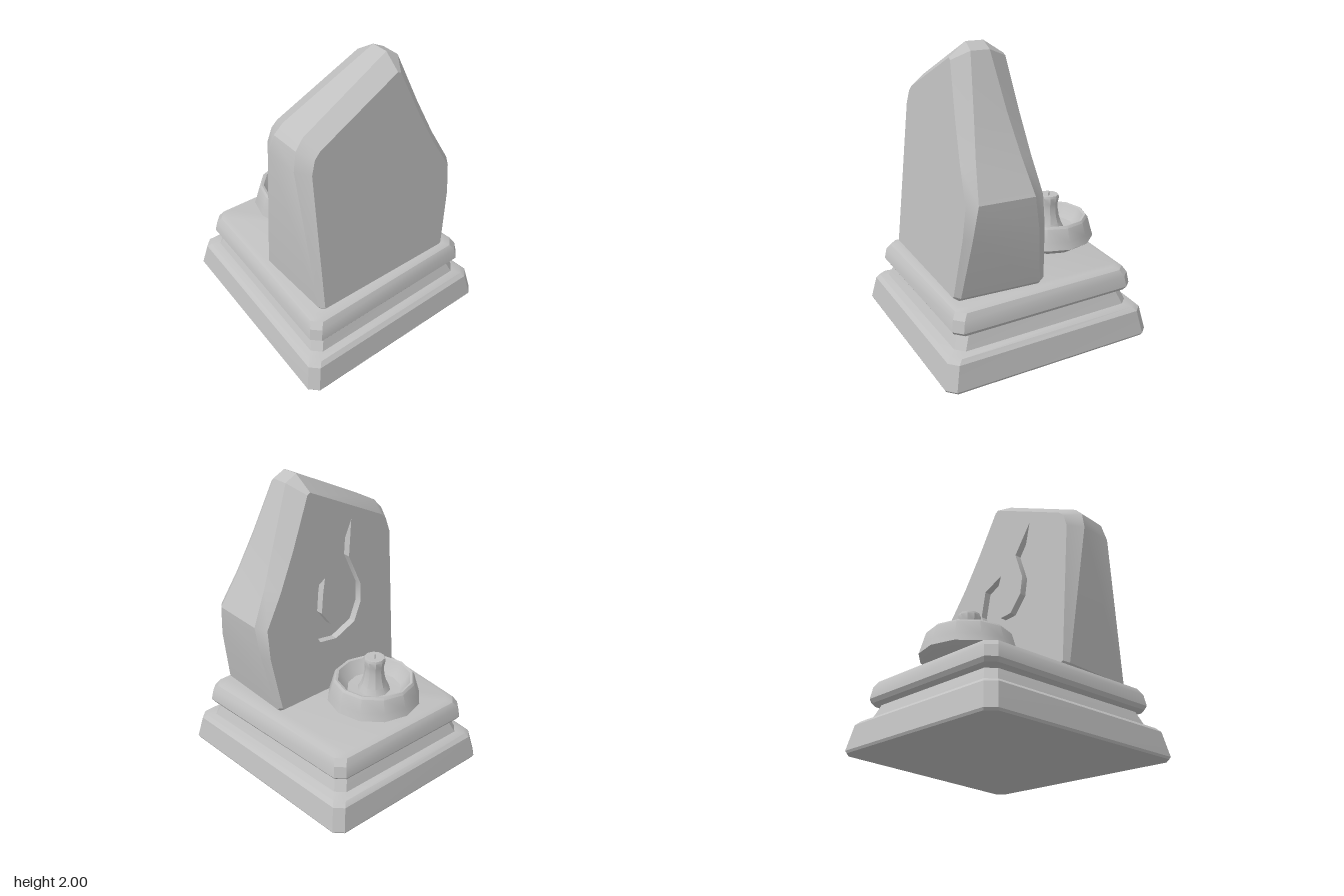
import * as THREE from 'three';
import { toCreasedNormals } from 'three/addons/utils/BufferGeometryUtils.js';

const stoneGrey = new THREE.MeshStandardMaterial({ color: 0xc0c0c0 });
const V = (x, y, z) => new THREE.Vector3(x, y, z);

// Mesh from a flat list of triangle corners
function meshFrom(tris, name, crease) {
  const geo = new THREE.BufferGeometry().setFromPoints(tris);
  const mesh = new THREE.Mesh(toCreasedNormals(geo, crease), stoneGrey);
  mesh.name = name;
  return mesh;
}

// Skin between successive rings; flip turns the faces inward
function loft(tris, rings, flip = false) {
  for (let k = 0; k < rings.length - 1; k++) {
    const n = rings[k].length;
    for (let i = 0; i < n; i++) {
      const j = (i + 1) % n;
      const a = rings[k][i], b = rings[k][j], c = rings[k + 1][j], d = rings[k + 1][i];
      if (flip) tris.push(a, c, b, a, d, c);
      else tris.push(a, b, c, a, c, d);
    }
  }
}

// Flat fill of an xy outline, with depth given by a rule
function fill(tris, outline, zOf, flip, holes = []) {
  const faces = THREE.ShapeUtils.triangulateShape(outline, holes);
  const all = [...outline, ...holes.flat()].map(p => V(p.x, p.y, zOf(p.y)));
  for (const [a, b, c] of faces) {
    const p = all[a], q = all[b], r = all[c];
    const ccw = (q.x - p.x) * (r.y - p.y) - (q.y - p.y) * (r.x - p.x) > 0;
    if (ccw !== flip) tris.push(p, q, r);
    else tris.push(p, r, q);
  }
}

// Stepped plinth: a slightly skewed footprint with cut corners
function plinth() {
  const corners = [[0.745, 0.755], [0.65, -0.76], [-0.66, -0.78], [-0.75, 0.778]];
  const ring = (y, inset) => corners.flatMap(([x, z], i) => {
    const sx = Math.sign(x), sz = Math.sign(z), cut = 0.055;
    const px = x - sx * inset, pz = z - sz * inset;
    const onFront = V(px - sx * cut, y, pz), onSide = V(px, y, pz - sz * cut);
    return i % 2 === 0 ? [onFront, onSide] : [onSide, onFront];
  });
  const steps = [[0, 0.008], [0.015, 0], [0.175, 0.032], [0.2, 0.058], [0.215, 0.105],
    [0.305, 0.142], [0.32, 0.105], [0.345, 0.088], [0.42, 0.1], [0.46, 0.125], [0.475, 0.16]];
  const rings = steps.map(([y, inset]) => ring(y, inset));
  const tris = [];
  loft(tris, rings);
  const bottom = rings[0], top = rings[rings.length - 1];
  for (let i = 1; i < 7; i++) {
    tris.push(bottom[0], bottom[i + 1], bottom[i]);
    tris.push(top[0], top[i], top[i + 1]);
  }
  return meshFrom(tris, 'plinth', 0.45);
}

// Upright stone: chamfered slab that thins upward, with a carved hook on its back
function standingStone() {
  const outline = [[-0.52, 0.48], [0.49, 0.48], [0.515, 0.505], [0.585, 0.9], [0.6, 1.12],
    [0.48, 1.35], [0.37, 1.6], [0.225, 1.955], [0.14, 2], [-0.5, 1.685], [-0.56, 1.62],
    [-0.59, 1.5], [-0.54, 0.5]].map(p => new THREE.Vector2(...p));
  const rise = y => THREE.MathUtils.smoothstep(y, 0.5, 2);
  const backZ = y => -0.02 + (y - 0.48) * 0.079;
  const frontZ = y => 0.61 - (y - 0.48) * 0.107;

  const n = outline.length;
  const inner = outline.map((p, i) => {
    const e0 = p.clone().sub(outline[(i + n - 1) % n]).normalize();
    const e1 = outline[(i + 1) % n].clone().sub(p).normalize();
    const n0 = new THREE.Vector2(-e0.y, e0.x);
    const dir = n0.clone().add(new THREE.Vector2(-e1.y, e1.x)).normalize();
    return p.clone().addScaledVector(dir, (0.025 + 0.055 * rise(p.y)) / dir.dot(n0));
  });
  const at = (pts, zOf) => pts.map(p => V(p.x, p.y, zOf(p.y)));

  const tris = [];
  loft(tris, [
    at(inner, backZ),
    at(outline, y => backZ(y) + 0.04 + 0.09 * rise(y)),
    at(outline, y => frontZ(y) - 0.04 - 0.06 * rise(y)),
    at(inner, frontZ),
  ]);
  fill(tris, inner, frontZ, false);

  // carved hook, counter-clockwise in xy
  const hook = [[-0.185, 1.66], [-0.15, 1.41], [-0.24, 1.19], [-0.235, 1.06], [-0.17, 0.93],
    [0, 0.86], [0.14, 0.88], [0.23, 1.05], [0.21, 1.24], [0.065, 1.32], [0.09, 1.21],
    [0.11, 1.08], [0.04, 0.98], [-0.05, 0.99], [-0.13, 1.11], [-0.14, 1.24],
    [-0.065, 1.44]].map(p => new THREE.Vector2(...p));
  const floorZ = y => backZ(y) + 0.05;
  fill(tris, inner, backZ, true, [hook]);
  loft(tris, [at(hook, backZ), at(hook, floorZ)], true);
  fill(tris, hook, floorZ, true);
  return meshFrom(tris, 'standingStone', 0.5);
}

// Turned part from a radius and height profile
function turned(name, points, sides, crease) {
  const geo = new THREE.LatheGeometry(points.map(p => new THREE.Vector2(...p)), sides);
  geo.deleteAttribute('uv');
  const mesh = new THREE.Mesh(toCreasedNormals(geo, crease), stoneGrey);
  mesh.name = name;
  return mesh;
}

export function createModel() {
  const model = new THREE.Group();
  model.name = 'memorialStone';
  model.add(plinth(), standingStone());

  // Candle dish behind the stone
  const dish = new THREE.Group();
  dish.name = 'candleDish';
  dish.position.set(-0.03, 0, -0.34);
  dish.add(
    turned('bowl', [[0, 0.475], [0.17, 0.485], [0.23, 0.505], [0.315, 0.56], [0.3, 0.61],
      [0.275, 0.7], [0.262, 0.715], [0.245, 0.71], [0.215, 0.66], [0.18, 0.625], [0, 0.61]], 12, 0.6),
    turned('candle', [[0.115, 0.61], [0.09, 0.66], [0.074, 0.71], [0.066, 0.76], [0.065, 0.8],
      [0.074, 0.845], [0.068, 0.86], [0.05, 0.862], [0, 0.85]], 10, 0.6),
    turned('wick', [[0.006, 0.845], [0.005, 0.88], [0, 0.882]], 5, 0.6),
  );
  model.add(dish);
  return model;
}
